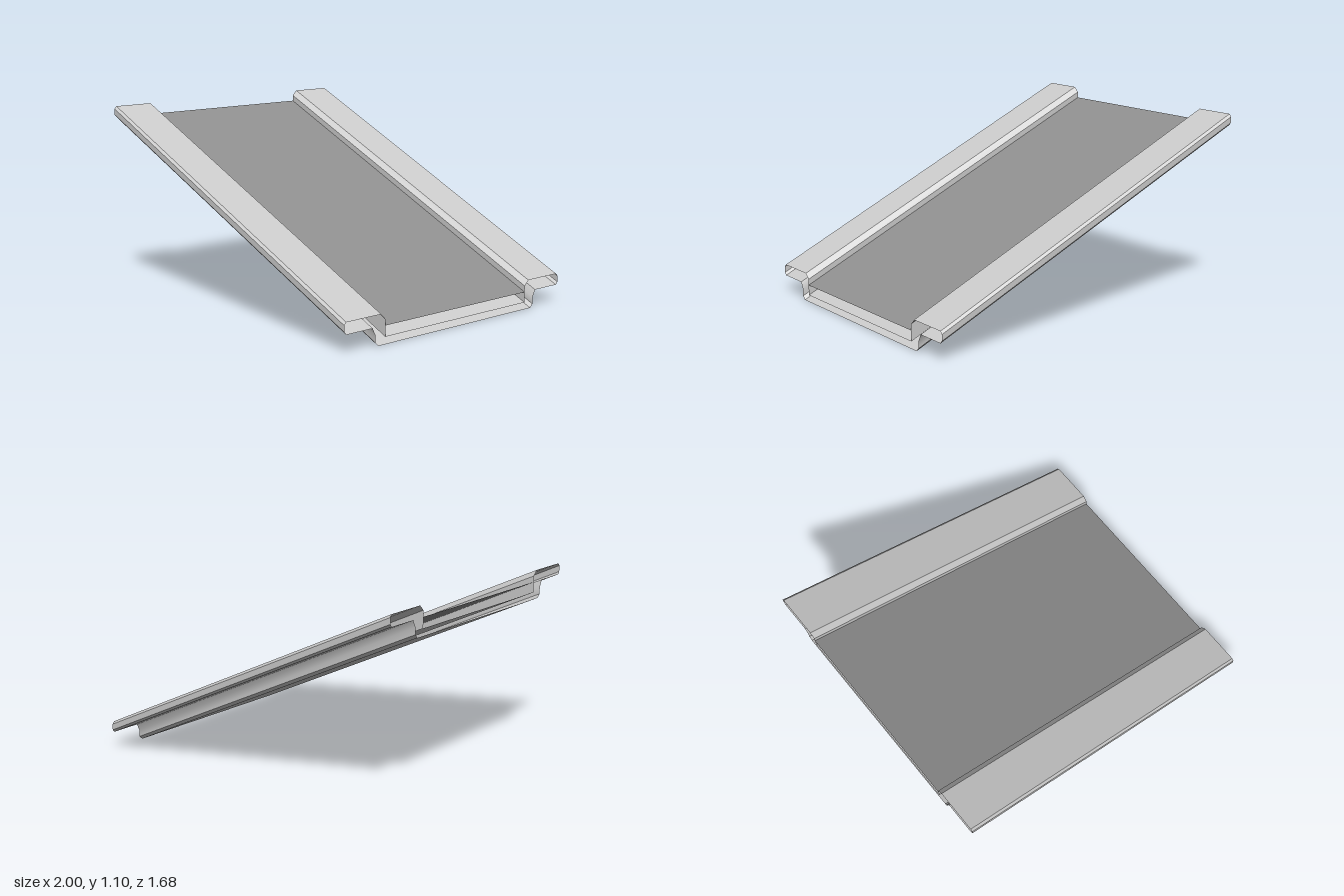
import * as THREE from 'three';
import { toCreasedNormals } from 'three/addons/utils/BufferGeometryUtils.js';

const RISE = 0.93; // height gained from the low end (+x) to the high end (-x)

// Sweep a [z, y] profile along the slope, leaving both ends open
function sweep(profile, closed) {
  const positions = [];
  const index = [];
  for (const [z, y] of profile) positions.push(-1, y + RISE, z, 1, y, z);
  const n = profile.length;
  for (let i = 0; i < (closed ? n : n - 1); i++) {
    const a = 2 * i;
    const b = 2 * ((i + 1) % n);
    index.push(a, a + 1, b + 1, a, b + 1, b);
  }
  const geometry = new THREE.BufferGeometry();
  geometry.setAttribute('position', new THREE.Float32BufferAttribute(positions, 3));
  geometry.setIndex(index);
  return toCreasedNormals(geometry, 0.6);
}

function addPart(group, name, geometry, color) {
  const material = new THREE.MeshStandardMaterial({ color, side: THREE.DoubleSide });
  const mesh = new THREE.Mesh(geometry, material);
  mesh.name = name;
  group.add(mesh);
}

export function createModel() {
  const group = new THREE.Group();
  group.name = 'slopedConveyor';

  // Half of the frame section: underside, side wall, flanged rail, inner wall, floor
  const half = [
    [0.60, 0], [0.62, 0.02], [0.62, 0.06], [0.64, 0.10],
    [0.825, 0.10], [0.838, 0.115], [0.838, 0.15], [0.825, 0.165],
    [0.58, 0.165], [0.55, 0.135], [0.55, 0.04],
  ];
  const mirrored = half.map(([z, y]) => [-z, y]).reverse();
  addPart(group, 'frame', sweep([...half, ...mirrored], true), 0xcccccc);

  // Thin dark belt between the rails, above the frame floor
  addPart(group, 'belt', sweep([[0.55, 0.10], [-0.55, 0.10]], false), 0x909090);

  return group;
}
